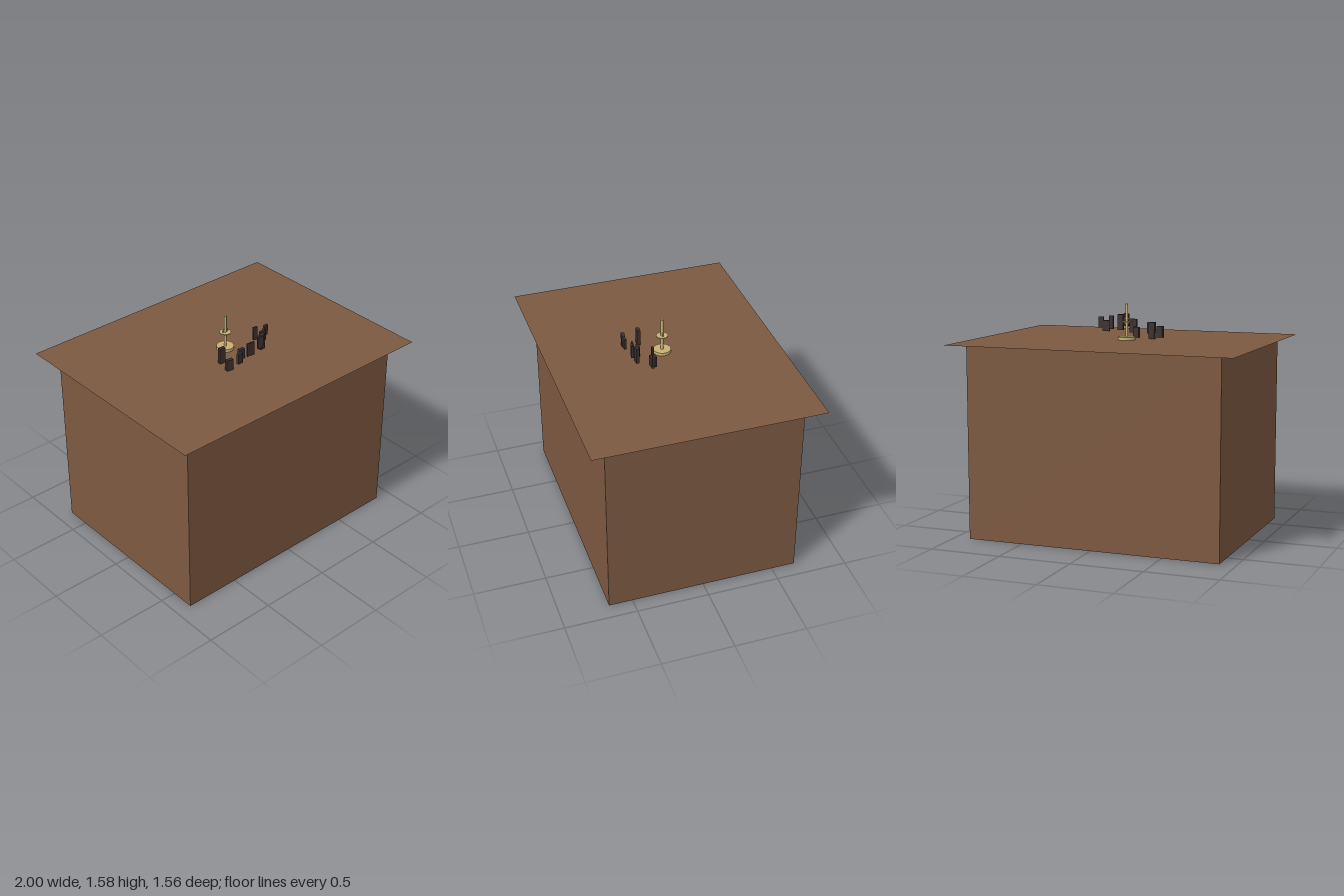
import * as THREE from 'three';

export function createModel() {
  const group = new THREE.Group();
  const material = (name, color, extra = {}) => {
    const m = new THREE.MeshStandardMaterial({ color, ...extra });
    m.name = name;
    return m;
  };
  const wood = material('brown wood', 0x7d5941);
  wood.side = THREE.DoubleSide;
  const brass = material('pale brass', 0xc8b074);
  const dark = material('dark slate', 0x3c302f);

  const add = (name, geometry, mat, x, y, z, parent = group) => {
    const mesh = new THREE.Mesh(geometry, mat);
    mesh.name = name;
    mesh.position.set(x, y, z);
    parent.add(mesh);
    return mesh;
  };

  // Solid body with a paper-thin overhanging top
  const top = 1.333;
  add('body', new THREE.BoxGeometry(1.78, top - 0.002, 1.33), wood, 0, (top - 0.002) / 2, 0);
  const sheet = add('tabletop', new THREE.PlaneGeometry(2, 1.556), wood, 0, top, 0);
  sheet.rotation.x = -Math.PI / 2;

  // Brass stand: round foot, stem, collar and upright ring
  const stand = new THREE.Group();
  stand.name = 'stand';
  group.add(stand);
  add('foot', new THREE.CylinderGeometry(0.06, 0.06, 0.021, 20), brass, 0, top + 0.0105, 0, stand);
  add('stem', new THREE.CylinderGeometry(0.01, 0.01, 0.227, 12), brass, 0, 1.4665, 0, stand);
  add('collar', new THREE.CylinderGeometry(0.04, 0.04, 0.005, 20), brass, 0, 1.457, 0, stand);
  add('ring', new THREE.TorusGeometry(0.021, 0.004, 6, 16), brass, 0, 1.463, 0, stand);

  // Loose upright tablets: x, z, bottom, top, width, depth, turn
  const tablets = [
    [-0.14, 0.125, 1.333, 1.447, 0.043, 0.024, -0.1],
    [-0.162, 0.225, 1.333, 1.412, 0.048, 0.024, -0.2],
    [-0.083, 0.239, 1.358, 1.434, 0.044, 0.018, 0.08],
    [-0.007, 0.168, 1.333, 1.406, 0.043, 0.023, -0.12],
    [0.033, 0.215, 1.36, 1.458, 0.056, 0.01, -0.12],
    [0.096, 0.24, 1.402, 1.492, 0.04, 0.014, -0.18],
    [0.131, 0.217, 1.375, 1.486, 0.04, 0.023, 0.08],
    [0.161, 0.118, 1.39, 1.485, 0.031, 0.015, -0.15],
    [0.209, 0.139, 1.372, 1.448, 0.052, 0.018, 0.08],
    [0.243, 0.13, 1.398, 1.474, 0.036, 0.016, 0.2],
  ];
  for (const [x, z, low, high, w, d, turn] of tablets) {
    const tablet = add('tablet', new THREE.BoxGeometry(w, high - low, d), dark, x, (low + high) / 2, z);
    tablet.rotation.y = turn;
  }
  return group;
}
